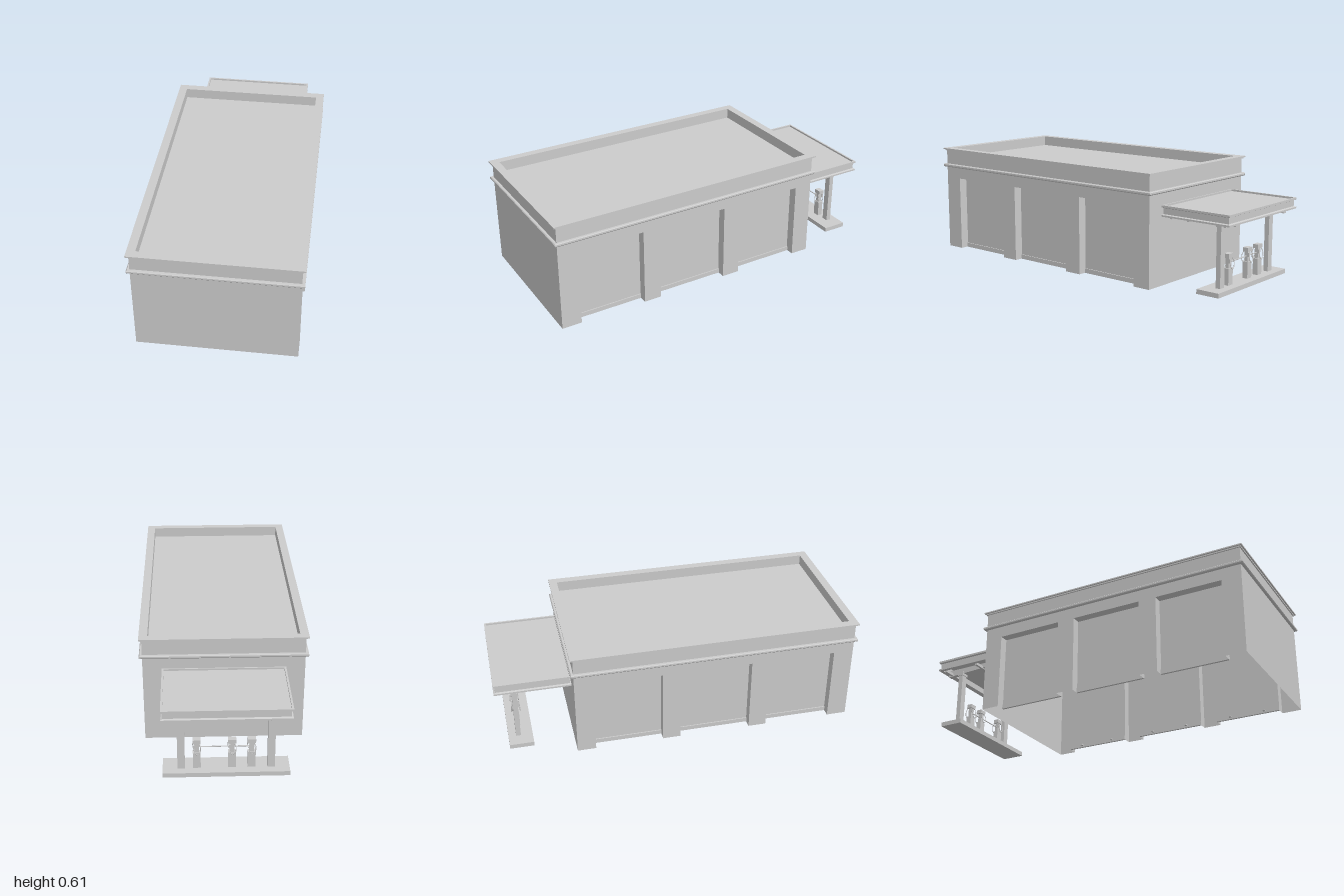
import * as THREE from 'three';

const mat = new THREE.MeshStandardMaterial({ color: 0xcccccc, flatShading: true });
const sheetMat = new THREE.MeshStandardMaterial({ color: 0xcccccc, flatShading: true, side: THREE.DoubleSide });
const smoothMat = new THREE.MeshStandardMaterial({ color: 0xcccccc });

function add(parent, name, geo, x = 0, y = 0, z = 0, m = mat) {
  const mesh = new THREE.Mesh(geo, m);
  mesh.name = name;
  mesh.position.set(x, y, z);
  parent.add(mesh);
  return mesh;
}

// box given by its min/max on each axis
function box(parent, name, [x0, x1], [y0, y1], [z0, z1]) {
  return add(parent, name, new THREE.BoxGeometry(x1 - x0, y1 - y0, z1 - z0),
    (x0 + x1) / 2, (y0 + y1) / 2, (z0 + z1) / 2);
}

// faceted sheet through closed rows of points
function sheet(rows) {
  const pos = [];
  for (let r = 0; r < rows.length - 1; r++) {
    const n = rows[r].length;
    for (let i = 0; i < n; i++) {
      const j = (i + 1) % n, a = rows[r][i], b = rows[r][j], c = rows[r + 1][j], d = rows[r + 1][i];
      pos.push(...a, ...b, ...c, ...a, ...c, ...d);
    }
  }
  const g = new THREE.BufferGeometry();
  g.setAttribute('position', new THREE.Float32BufferAttribute(pos, 3));
  g.computeVertexNormals();
  return g;
}

// rectangular ring at height y, grown outwards by o
const ring = (hx, hz, cz) => ([o, y]) => [
  [hx + o, y, cz + hz + o], [hx + o, y, cz - hz - o],
  [-hx - o, y, cz - hz - o], [-hx - o, y, cz + hz + o]];

const HX = 0.425, Z0 = -0.5825, Z1 = 0.985, CZ = (Z0 + Z1) / 2, HZ = (Z1 - Z0) / 2;
const BAYS = [[0.875, 0.5], [0.4, 0], [-0.1, -0.48]];
const DEPTH = 0.05, BAY_TOP = 0.43;

function makeBuilding() {
  const g = new THREE.Group();
  g.name = 'building';

  // lower walls: plan outline notched at each bay
  const side = [[HX, Z1]];
  for (const [a, b] of BAYS) side.push([HX, a], [HX - DEPTH, a], [HX - DEPTH, b], [HX, b]);
  side.push([HX, Z0]);
  const plan = [...side, ...side.map(([x, z]) => [-x, z]).reverse()];
  add(g, 'lowerWalls', sheet([0, BAY_TOP].map(y => plan.map(([x, z]) => [x, y, z]))), 0, 0, 0, sheetMat);

  // upper walls, band, cornice and parapet in one profile
  const profile = [[0, BAY_TOP], [0, 0.495], [0.012, 0.495], [0.016, 0.5], [0.016, 0.509], [0.012, 0.513],
    [0, 0.513], [0, 0.594], [0.007, 0.594], [0.007, 0.601], [0.0155, 0.601], [0.0155, 0.608],
    [-0.03, 0.608], [-0.03, 0.55]];
  add(g, 'upperWallsAndParapet', sheet(profile.map(ring(HX, HZ, CZ))), 0, 0, 0, sheetMat);
  const roof = new THREE.PlaneGeometry(2 * HX - 0.06, 2 * HZ - 0.06).rotateX(-Math.PI / 2);
  add(g, 'roof', roof, 0, 0.55, CZ, sheetMat);

  // bay soffits, door bottom rails and inner handles
  for (const s of [1, -1]) for (const [a, b] of BAYS) {
    const mid = (a + b) / 2, len = a - b, door = s * (HX - DEPTH);
    add(g, 'baySoffit', new THREE.PlaneGeometry(DEPTH, len).rotateX(Math.PI / 2),
      door + s * DEPTH / 2, BAY_TOP, mid, sheetMat);
    add(g, 'doorBottomRail', new THREE.BoxGeometry(0.012, 0.025, len), door, 0.0125, mid);
    for (const k of [-0.27, 0.27])
      add(g, 'doorHandle', new THREE.BoxGeometry(0.018, 0.008, 0.012), door - s * 0.014, 0.013, mid + k * len);
  }
  return g;
}

function makeCanopy() {
  const g = new THREE.Group();
  g.name = 'canopy';
  const cz = -0.79, hx = 0.325, hz = 0.21;

  // channel-shaped fascia around a recessed roof
  const fascia = [[-0.02, 0.376], [-0.02, 0.37], [0, 0.37], [0, 0.379], [-0.01, 0.383],
    [-0.01, 0.415], [0, 0.419], [0, 0.43], [-0.01, 0.43], [-0.01, 0.42]];
  add(g, 'fascia', sheet(fascia.map(ring(hx, hz, cz))), 0, 0, 0, sheetMat);
  add(g, 'canopyRoof', new THREE.PlaneGeometry(2 * hx - 0.02, 2 * hz - 0.02).rotateX(-Math.PI / 2),
    0, 0.42, cz, sheetMat);

  // tapered beams from the wall over the posts
  const beam = new THREE.Shape([[0.585, 0.372], [0.585, 0.395], [0.985, 0.395], [0.985, 0.356]]
    .map(p => new THREE.Vector2(...p)));
  const beamGeo = new THREE.ExtrudeGeometry(beam, { depth: 0.024, bevelEnabled: false })
    .translate(0, 0, -0.012).rotateY(Math.PI / 2);
  for (const x of [-0.23, 0.23]) {
    add(g, 'beam', beamGeo, x);
    box(g, 'post', [x - 0.019, x + 0.019], [0.025, 0.375], [-0.903, -0.876]);
    box(g, 'postCap', [x - 0.023, x + 0.023], [0.345, 0.36], [-0.907, -0.872]);
  }
  // cross purlins
  for (const z of [-0.63, -0.74, -0.96])
    box(g, 'purlin', [-0.305, 0.305], [0.36, 0.376], [z - 0.007, z + 0.007]);
  return g;
}

function makePump() {
  const g = new THREE.Group();
  g.name = 'pump';
  box(g, 'pumpBase', [-0.02, 0.02], [0.025, 0.115], [-0.015, 0.015]);
  box(g, 'pumpColumn', [-0.012, 0.012], [0.115, 0.172], [-0.01, 0.01]);
  box(g, 'pumpHead', [-0.021, 0.021], [0.17, 0.192], [-0.016, 0.016]);
  // hose loop and nozzle on each face
  for (const s of [1, -1]) {
    const pts = [[0.012, 0.172, 0.014], [0.02, 0.15, 0.021], [0.014, 0.118, 0.024],
      [-0.002, 0.112, 0.024], [-0.012, 0.13, 0.022], [-0.013, 0.155, 0.016]];
    const curve = new THREE.CatmullRomCurve3(pts.map(([x, y, z]) => new THREE.Vector3(x * s, y, z * s)));
    add(g, 'hose', new THREE.TubeGeometry(curve, 20, 0.0022, 6), 0, 0, 0, smoothMat);
    add(g, 'nozzle', new THREE.BoxGeometry(0.006, 0.022, 0.007), -0.013 * s, 0.154, 0.016 * s);
  }
  return g;
}

export function createModel() {
  const model = new THREE.Group();
  model.name = 'serviceStation';
  model.add(makeBuilding(), makeCanopy());

  // pump island
  const island = new THREE.Group();
  island.name = 'pumpIsland';
  box(island, 'islandSlab', [-0.325, 0.325], [0, 0.025], [-0.945, -0.81]);
  for (const x of [0.15, -0.03, -0.13]) {
    const pump = makePump();
    pump.position.set(x, 0, -0.885);
    island.add(pump);
  }
  add(island, 'connectingRod', new THREE.CylinderGeometry(0.003, 0.003, 0.28, 8).rotateZ(Math.PI / 2),
    0.01, 0.145, -0.885, smoothMat);
  model.add(island);
  return model;
}
